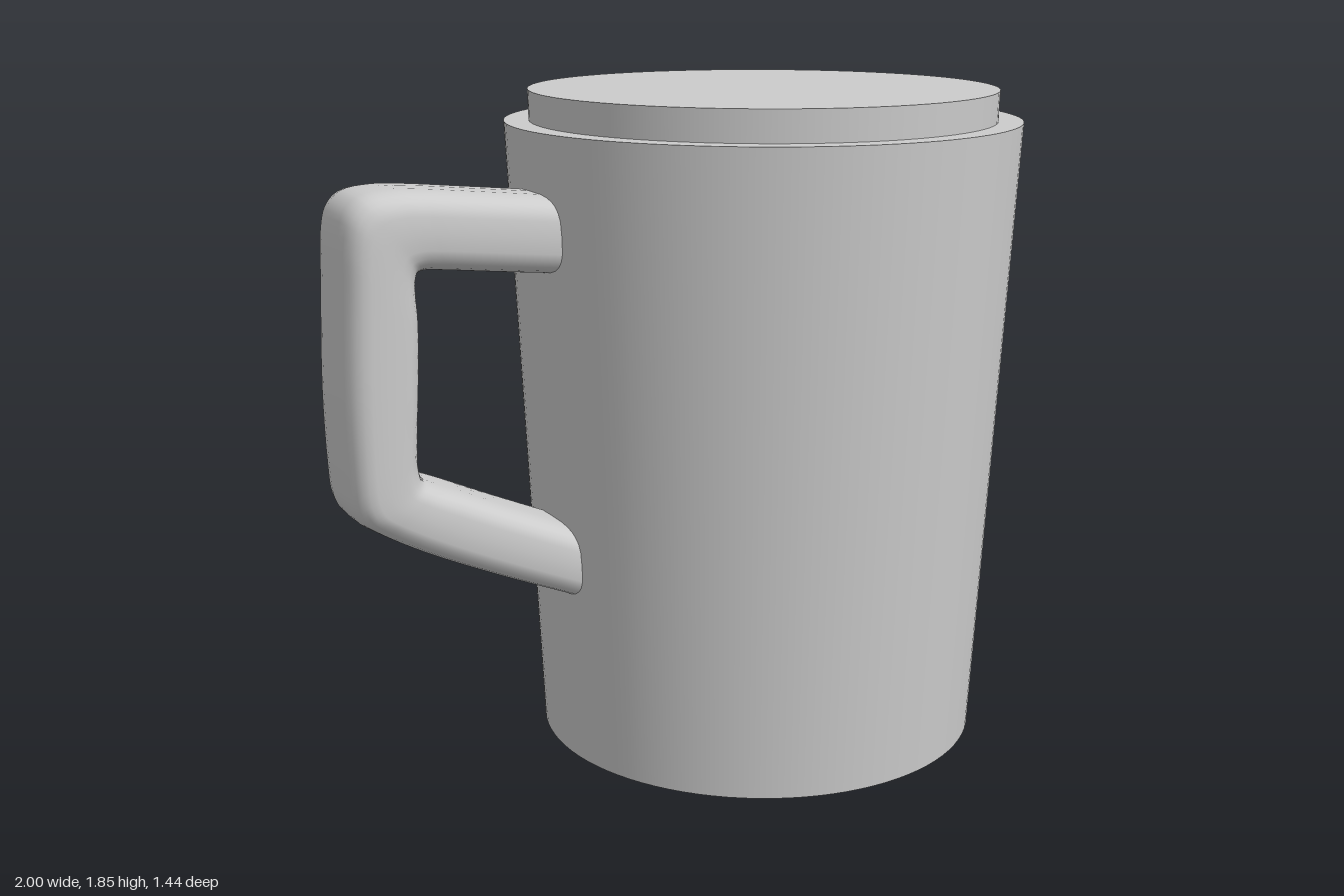
import * as THREE from 'three';

const material = new THREE.MeshStandardMaterial({ color: 0xcccccc });
const CUP_X = 0.28;

// Handle stations, from the upper root to the lower: outer x, y, inner x, y
const STATIONS = [
  [-0.30, 1.59, -0.30, 1.385], [-0.42, 1.605, -0.42, 1.395], [-0.60, 1.625, -0.60, 1.415],
  [-0.77, 1.643, -0.73, 1.43], [-0.85, 1.647, -0.77, 1.432], [-0.93, 1.635, -0.785, 1.425],
  [-0.967, 1.60, -0.79, 1.405], [-0.983, 1.54, -0.79, 1.375], [-0.99, 1.40, -0.785, 1.30],
  [-1.00, 1.12, -0.79, 1.15], [-0.995, 0.91, -0.80, 0.99], [-0.987, 0.83, -0.80, 0.93],
  [-0.967, 0.79, -0.79, 0.89], [-0.92, 0.755, -0.765, 0.873], [-0.80, 0.685, -0.68, 0.835],
  [-0.60, 0.59, -0.55, 0.775], [-0.38, 0.495, -0.38, 0.70], [-0.30, 0.46, -0.30, 0.665],
];

// Sweeps a rounded-rectangle section between the outer and inner curves
function handleGeometry(halfWidth = 0.15, steps = 68, sides = 28) {
  const curve = (k) => new THREE.CatmullRomCurve3(
    STATIONS.map((s) => new THREE.Vector3(s[k], s[k + 1], 0)));
  const outer = curve(0), inner = curve(2);
  const soften = (v) => Math.sign(v) * Math.abs(v) ** 0.6;
  const positions = [], index = [];
  for (let i = 0; i <= steps; i++) {
    const o = outer.getPoint(i / steps), n = inner.getPoint(i / steps);
    for (let j = 0; j < sides; j++) {
      const a = (j / sides) * Math.PI * 2;
      const p = n.clone().lerp(o, 0.5 + 0.5 * soften(Math.cos(a)));
      positions.push(p.x, p.y, halfWidth * soften(Math.sin(a)));
      if (i === steps) continue;
      const k = (j + 1) % sides, r = i * sides, s = r + sides;
      index.push(r + j, s + j, r + k, r + k, s + j, s + k);
    }
  }
  const geometry = new THREE.BufferGeometry();
  geometry.setAttribute('position', new THREE.Float32BufferAttribute(positions, 3));
  geometry.setIndex(index);
  geometry.computeVertexNormals();
  return geometry;
}

export function createModel() {
  const group = new THREE.Group();
  group.name = 'lidded mug';
  const add = (name, geometry, x = 0, y = 0) => {
    const mesh = new THREE.Mesh(geometry, material);
    mesh.name = name;
    mesh.position.set(x, y, 0);
    group.add(mesh);
  };

  // Tapered cup body with a flat rim
  add('body', new THREE.CylinderGeometry(0.72, 0.635, 1.765, 96), CUP_X, 1.765 / 2);
  // Raised disc lid, sunk slightly into the body
  add('lid', new THREE.CylinderGeometry(0.653, 0.65, 0.11, 96), CUP_X, 1.85 - 0.055);
  // Angular handle whose ends run into the body
  add('handle', handleGeometry());
  return group;
}
